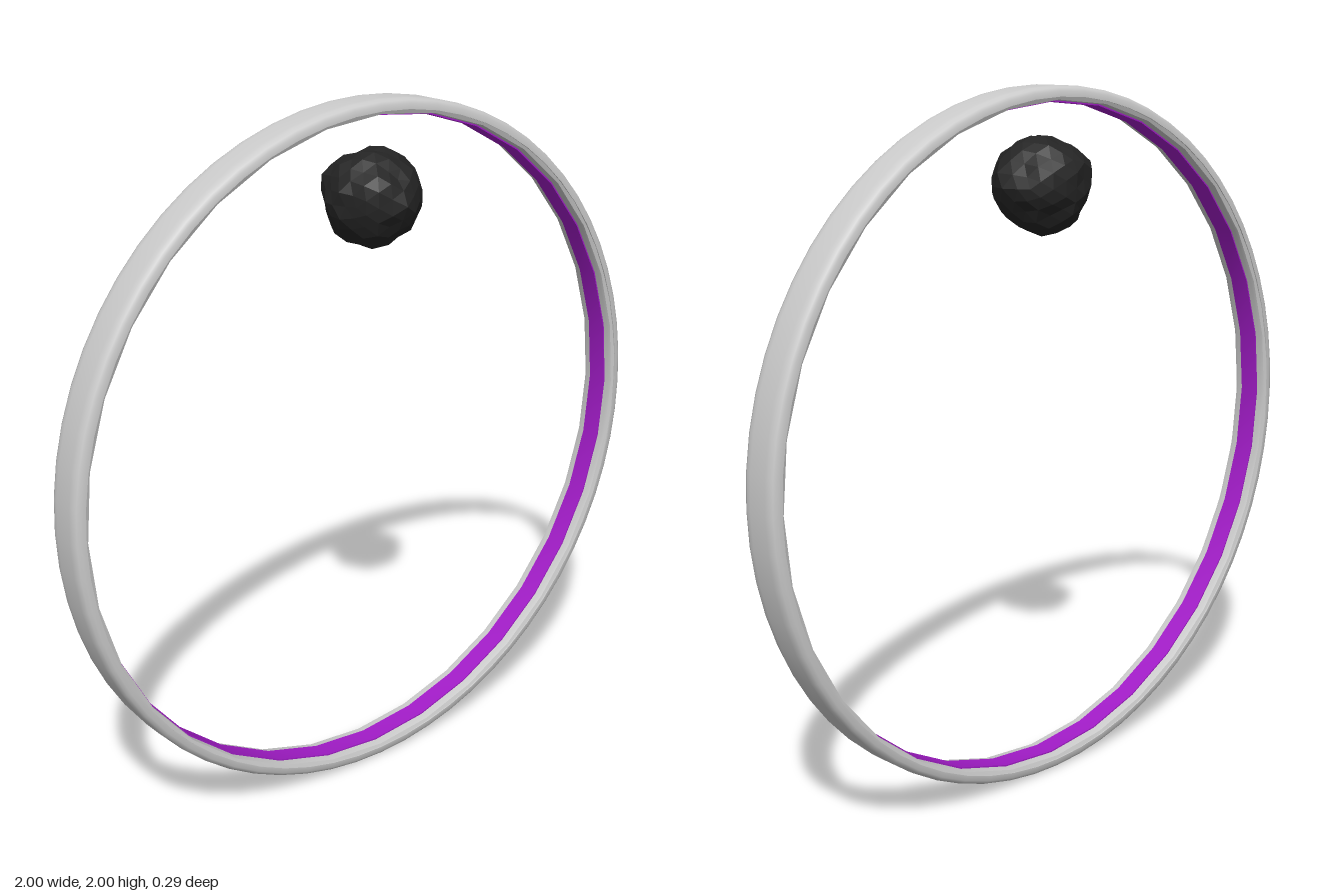
import * as THREE from 'three';
import { toCreasedNormals } from 'three/addons/utils/BufferGeometryUtils.js';

const RING_Y = 1, RING_Z = -0.009;

// Revolve a closed [radius, depth] outline around the z axis
function hoop(name, outline, segments, material) {
  const points = [...outline, outline[0]].map(([r, d]) => new THREE.Vector2(r, d));
  const geometry = toCreasedNormals(new THREE.LatheGeometry(points, segments), 0.7);
  const mesh = new THREE.Mesh(geometry, material);
  mesh.name = name;
  mesh.rotation.x = Math.PI / 2;
  mesh.position.set(0, RING_Y, RING_Z);
  return mesh;
}

// Lumpy faceted stone: push sphere points in and out, plus a few knobs
function rockGeometry() {
  const geometry = new THREE.IcosahedronGeometry(1, 3);
  const knobs = [
    [1, 0.08, 0.1, 0.018], [0.05, 0.1, 1, 0.012], [-0.1, -1, -0.45, 0.012],
    [0.55, 0.8, 0.1, 0.008], [-0.5, 0.4, -0.75, 0.018], [0.4, 0.35, -0.85, 0.008],
  ].map(([x, y, z, h]) => ({ dir: new THREE.Vector3(x, y, z).normalize(), h }));
  const pos = geometry.attributes.position;
  const v = new THREE.Vector3();
  for (let i = 0; i < pos.count; i++) {
    v.fromBufferAttribute(pos, i).normalize();
    let r = 0.133
      + 0.006 * Math.sin(6.1 * v.x + 2.3 * v.y + 0.7) * Math.cos(5.3 * v.z - 1.9 * v.y)
      + 0.005 * Math.sin(11 * v.y + 7 * v.z) * Math.sin(9 * v.x + 1.3);
    for (const { dir, h } of knobs) r += h * Math.exp((v.dot(dir) - 1) * 14);
    v.multiplyScalar(r);
    pos.setXYZ(i, v.x, v.y, v.z);
  }
  geometry.computeVertexNormals();
  return geometry;
}

export function createModel() {
  const group = new THREE.Group();
  const grey = new THREE.MeshStandardMaterial({ color: 0xcccccc });
  const purple = new THREE.MeshStandardMaterial({ color: 0xa21cc8 });
  const dark = new THREE.MeshStandardMaterial({ color: 0x242424, flatShading: true });

  // Outer shell with rounded rims
  const outer = [
    [0.97, -0.062], [0.985, -0.061], [0.994, -0.055], [0.999, -0.044], [1, -0.03],
    [1, 0.03], [0.999, 0.044], [0.994, 0.055], [0.985, 0.061], [0.97, 0.062],
  ];
  group.add(hoop('ringShell', outer, 64, grey));

  // Inner wall with fewer sides, and a coloured band set on it
  const inner = [
    [0.962, -0.055], [0.978, -0.061], [0.978, 0.061], [0.962, 0.055], [0.96, 0.045], [0.96, -0.045],
  ];
  group.add(hoop('ringInnerWall', inner, 32, grey));
  const band = [[0.956, -0.03], [0.97, -0.03], [0.97, 0.03], [0.956, 0.03]];
  group.add(hoop('innerBand', band, 32, purple));

  // Rock floating under the top of the ring
  const rock = new THREE.Mesh(rockGeometry(), dark);
  rock.name = 'rock';
  rock.position.set(0.002, 1.73, 0);
  group.add(rock);

  return group;
}
